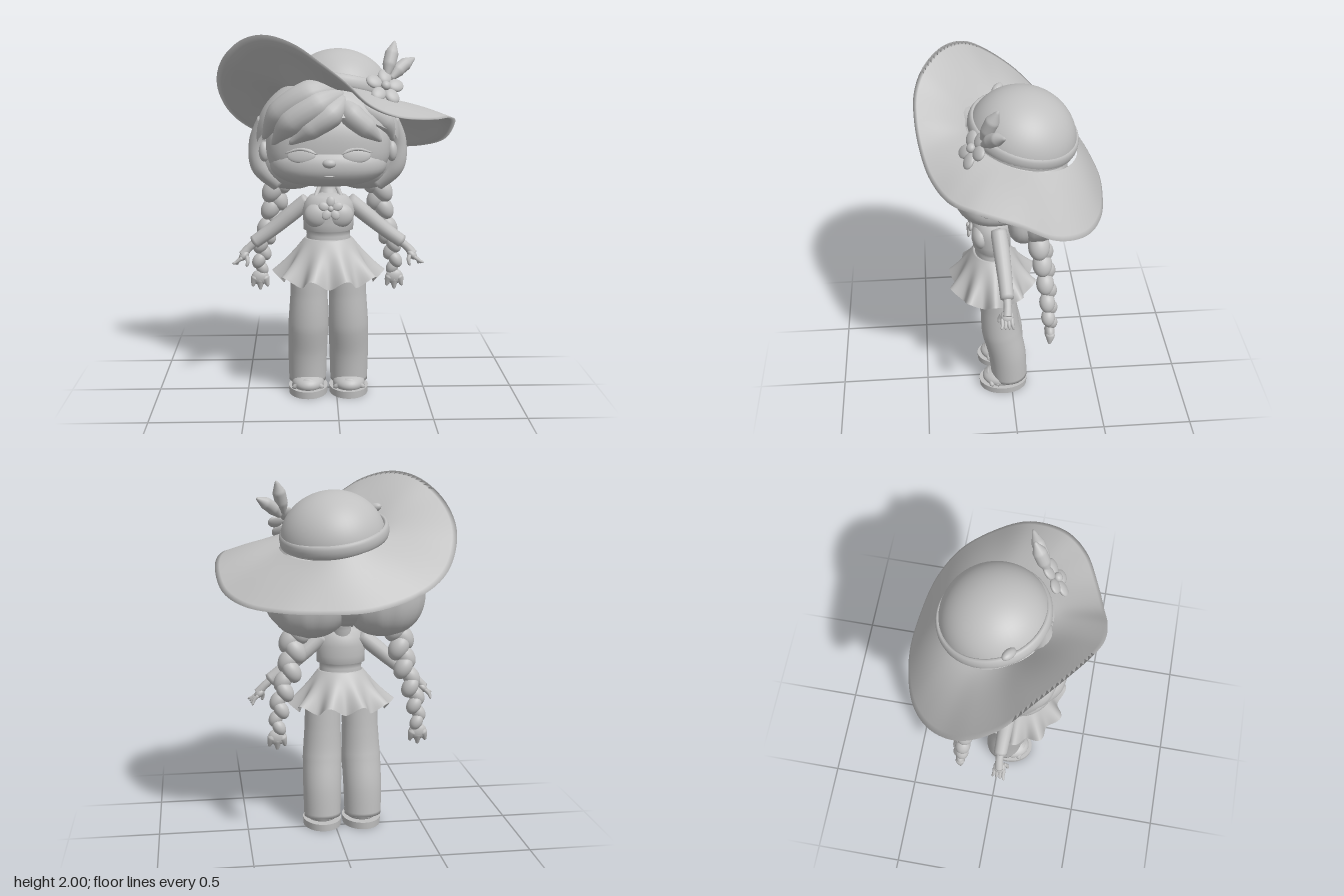
import * as THREE from 'three';
import { mergeVertices } from 'three/addons/utils/BufferGeometryUtils.js';

const V = (a) => new THREE.Vector3(...a);
const clay = new THREE.MeshStandardMaterial({ color: 0xc0c0c0, side: THREE.DoubleSide });
clay.name = 'clay grey';

function add(parent, name, geo, pos = [0, 0, 0]) {
  const m = new THREE.Mesh(geo, clay);
  m.name = name;
  m.position.set(...pos);
  parent.add(m);
  return m;
}

// Weld seams and smooth the normals
function smooth(geo) {
  geo.deleteAttribute('uv');
  geo.deleteAttribute('normal');
  const g = mergeVertices(geo, 1e-5);
  g.computeVertexNormals();
  return g;
}

// Surface from a rule f(u, v) -> [x, y, z]
function grid(nu, nv, f) {
  const pos = [], idx = [];
  for (let j = 0; j <= nv; j++) for (let i = 0; i <= nu; i++) pos.push(...f((i % nu) / nu, j / nv));
  for (let j = 0; j < nv; j++) for (let i = 0; i < nu; i++) {
    const a = j * (nu + 1) + i, b = a + nu + 1;
    idx.push(a, b, a + 1, b, b + 1, a + 1);
  }
  const g = new THREE.BufferGeometry();
  g.setAttribute('position', new THREE.Float32BufferAttribute(pos, 3));
  g.setIndex(idx);
  return smooth(g);
}

// Rounded-square ellipsoid with optional strand grooves around its height
function blob(rx, ry, rz, p = 2, grooves = 0) {
  const g = new THREE.SphereGeometry(1, 40, 24), a = g.attributes.position, v = new THREE.Vector3();
  for (let i = 0; i < a.count; i++) {
    v.fromBufferAttribute(a, i);
    const k = (Math.abs(v.x) ** p + Math.abs(v.y) ** p + Math.abs(v.z) ** p) ** (-1 / p);
    const w = grooves ? 1 - 0.05 * Math.abs(Math.cos(grooves * Math.atan2(v.x, v.z) / 2)) ** 6 * (1 - v.y * v.y) : 1;
    a.setXYZ(i, v.x * k * rx * w, v.y * k * ry, v.z * k * rz * w);
  }
  return smooth(g);
}

// Tube along points with interpolated radii, closed ends
function limb(points, radii, seg = 28, sides = 16) {
  const curve = new THREE.CatmullRomCurve3(points.map(V));
  const g = new THREE.TubeGeometry(curve, seg, 1, sides), a = g.attributes.position, v = new THREE.Vector3();
  for (let i = 0; i < a.count; i++) {
    const ring = Math.floor(i / (sides + 1)), t = ring / seg;
    const f = t * (radii.length - 1), k = Math.min(Math.floor(f), radii.length - 2);
    const r = ring === 0 || ring === seg ? 0 : THREE.MathUtils.lerp(radii[k], radii[k + 1], f - k);
    const c = curve.getPointAt(t);
    v.fromBufferAttribute(a, i).sub(c).multiplyScalar(r).add(c);
    a.setXYZ(i, v.x, v.y, v.z);
  }
  return smooth(g);
}

// Five-petal flower facing +z
function flower(name, r) {
  const g = new THREE.Group();
  g.name = name;
  for (let i = 0; i < 5; i++) {
    const a = i * Math.PI * 0.4 + Math.PI / 2;
    const p = add(g, 'petal', blob(r * 0.43, r * 0.36, r * 0.17), [Math.cos(a) * r * 0.6, Math.sin(a) * r * 0.6, 0]);
    p.rotation.z = a;
  }
  add(g, 'flowerCentre', blob(r * 0.24, r * 0.24, r * 0.2), [0, 0, r * 0.12]);
  return g;
}

function buildHat() {
  const hat = new THREE.Group();
  hat.name = 'sunHat';
  const centre = [0.02, 1.66, -0.06];
  const slope = (x, z) => centre[1] - 0.15 * (x - centre[0]) + 0.25 * (z - centre[2]);
  // Floppy brim: closed rim curve lofted to the crown base, with a thin underside
  const rim = new THREE.CatmullRomCurve3([
    [0.03, 1.77, 0.49], [0.16, 1.65, 0.465], [0.31, 1.585, 0.42], [0.5, 1.565, 0.33], [0.6, 1.565, 0.21], [0.65, 1.515, 0.01],
    [0.62, 1.405, -0.18], [0.51, 1.35, -0.34], [0.33, 1.33, -0.44], [0.11, 1.325, -0.485], [-0.12, 1.335, -0.495],
    [-0.38, 1.4, -0.43], [-0.52, 1.475, -0.34], [-0.61, 1.58, -0.22], [-0.65, 1.72, -0.08], [-0.61, 1.86, 0.08],
    [-0.5, 1.965, 0.21], [-0.37, 1.995, 0.33], [-0.22, 1.95, 0.435], [-0.1, 1.87, 0.485],
  ].map(V), true);
  add(hat, 'brim', grid(120, 28, (u, v) => {
    const e = rim.getPoint(u), a = Math.atan2(e.x - centre[0], e.z - centre[2]);
    const x = centre[0] + 0.29 * Math.sin(a), z = centre[2] + 0.29 * Math.cos(a);
    const t = 1 - Math.abs(1 - 2 * v), under = v > 0.5 ? -0.024 * Math.min(1, (1 - t) * 8) : 0;
    const bow = 0.012 * Math.sin(Math.PI * t);
    return [x + (e.x - x) * t, slope(x, z) * (1 - t) + e.y * t + bow + under, z + (e.z - z) * t];
  }));
  // Crown and ribbon share the tilt of the crown base
  const crown = new THREE.Group();
  crown.name = 'crown';
  crown.position.set(...centre);
  crown.quaternion.setFromUnitVectors(new THREE.Vector3(0, 1, 0), V([0.15, 1, -0.25]).normalize());
  const dome = add(crown, 'dome', new THREE.SphereGeometry(1, 48, 20, 0, Math.PI * 2, 0, Math.PI / 2));
  dome.scale.set(0.285, 0.255, 0.285);
  const ribbon = add(crown, 'ribbon', new THREE.TorusGeometry(0.28, 0.016, 12, 60), [-0.01, 0.03, 0]);
  ribbon.rotation.x = Math.PI / 2;
  ribbon.scale.z = 2.4;
  hat.add(crown);
  add(hat, 'ribbonKnot', blob(0.045, 0.025, 0.025), [-0.22, 1.81, 0.05]).rotation.set(0, -0.6, -0.3);
  // Flower and leaves
  const f = flower('hatFlower', 0.105);
  f.position.set(0.25, 1.725, 0.205);
  f.rotation.set(-0.65, 0.3, 0);
  hat.add(f);
  add(hat, 'leaf', limb([[0.26, 1.77, 0.16], [0.285, 1.87, 0.12], [0.31, 1.96, 0.08]], [0.012, 0.035, 0.036, 0.005]));
  add(hat, 'leaf', limb([[0.28, 1.76, 0.16], [0.34, 1.82, 0.11], [0.42, 1.87, 0.055]], [0.012, 0.035, 0.034, 0.005]));
  return hat;
}

function buildHead() {
  const head = new THREE.Group();
  head.name = 'head';
  add(head, 'face', blob(0.335, 0.225, 0.21, 2.5), [0, 1.41, 0.075]);
  add(head, 'cheeks', blob(0.315, 0.125, 0.215, 2.3), [0, 1.312, 0.095]);
  add(head, 'nose', blob(0.035, 0.024, 0.025), [0, 1.335, 0.31]);
  add(head, 'mouth', blob(0.03, 0.006, 0.01), [0, 1.265, 0.295]);
  // Hair cap, high over the forehead and low at the back
  add(head, 'hairCap', grid(64, 20, (u, v) => {
    const a = u * Math.PI * 2, p = v * (1.8 - 0.6 * Math.cos(a));
    return [0.39 * Math.sin(p) * Math.sin(a), 1.46 + 0.32 * Math.cos(p), 0.01 + 0.32 * Math.sin(p) * Math.cos(a)];
  }));
  add(head, 'backHair', blob(0.2, 0.22, 0.17), [0, 1.41, -0.11]);
  // Swept fringe, parted to the left of centre
  [
    [[0.08, 1.71, 0.16], [-0.1, 1.68, 0.23], [-0.26, 1.58, 0.21], [-0.35, 1.44, 0.13], 0.085],
    [[0.08, 1.69, 0.18], [-0.06, 1.63, 0.255], [-0.2, 1.54, 0.255], [-0.3, 1.42, 0.2], 0.088],
    [[0.08, 1.67, 0.2], [0.01, 1.59, 0.275], [-0.09, 1.52, 0.28], [-0.21, 1.43, 0.26], 0.07],
    [[0.06, 1.66, 0.19], [0.12, 1.58, 0.25], [0.2, 1.51, 0.25], [0.28, 1.44, 0.22], 0.065],
    [[0.08, 1.66, 0.15], [0.22, 1.59, 0.18], [0.3, 1.53, 0.16], [0.35, 1.43, 0.11], 0.065],
  ].forEach((b) => add(head, 'fringe', limb(b.slice(0, 4), [0.03, b[4], b[4] * 0.85, 0.008])));
  for (const s of [-1, 1]) {
    add(head, 'ear', blob(0.03, 0.055, 0.035), [s * 0.345, 1.37, 0.07]);
    add(head, 'eye', blob(0.075, 0.04, 0.012), [s * 0.145, 1.375, 0.278]).rotation.set(-0.2, s * 0.15, 0);
    add(head, 'eyelash', limb([[s * 0.06, 1.38, 0.29], [s * 0.145, 1.407, 0.284], [s * 0.23, 1.385, 0.265]], [0.004, 0.008, 0.004], 16, 8));
    add(head, 'hairBunch', blob(0.23, 0.24, 0.185, 2.2, 12), [s * 0.2, 1.375, -0.12]);
    add(head, 'sideLock', limb([[s * 0.345, 1.56, 0.05], [s * 0.385, 1.42, 0.0], [s * 0.37, 1.28, -0.02], [s * 0.26, 1.17, -0.06]], [0.03, 0.045, 0.055, 0.05]));
    // Braid of alternating lobes ending in a tuft
    const path = new THREE.CatmullRomCurve3([[0.285, 1.18, -0.13], [0.31, 1.0, -0.16], [0.365, 0.82, -0.18], [0.388, 0.66, -0.19]].map(V));
    for (let i = 0; i < 11; i++) {
      const t = i / 10, c = path.getPoint(t), side = i % 2 ? 1 : -1, w = 1.12 - 0.47 * t;
      add(head, 'braidLobe', blob(0.052 * w, 0.072 * w, 0.054 * w), [s * (c.x + side * 0.016 * w), c.y, c.z + side * 0.008]).rotation.z = s * side * 0.5;
    }
    add(head, 'braidTuft', blob(0.05, 0.045, 0.028), [s * 0.388, 0.605, -0.19]);
    for (const k of [-1, 0, 1]) add(head, 'tuftTip', limb([[s * 0.388, 0.64, -0.19], [s * 0.388 + k * 0.03, 0.595, -0.19], [s * 0.388 + k * 0.045, 0.53 + Math.abs(k) * 0.02, -0.185]], [0.015, 0.027, 0.006]));
  }
  return head;
}

function buildBody() {
  const body = new THREE.Group();
  body.name = 'body';
  const profile = [[0.12, 0.72], [0.125, 0.84], [0.118, 0.92], [0.12, 0.945], [0.136, 0.95], [0.136, 0.99], [0.142, 1.05], [0.13, 1.1], [0.1, 1.135], [0.03, 1.15]];
  const torso = add(body, 'torso', new THREE.LatheGeometry(profile.map((p) => new THREE.Vector2(...p)), 40), [0, 0, 0.1]);
  torso.scale.z = 0.78;
  add(body, 'neck', limb([[0, 1.24, 0.03], [0, 1.16, 0.045], [0, 1.08, 0.07]], [0.05, 0.05, 0.06]));
  const chest = flower('chestFlower', 0.065);
  chest.position.set(0.01, 1.08, 0.22);
  chest.rotation.x = -0.2;
  body.add(chest);
  // Ruffled skirt: outer folds lift, inner folds hang lower
  add(body, 'skirt', grid(144, 16, (u, v) => {
    const a = u * Math.PI * 2, wave = Math.cos(10 * a + Math.PI) * v * v;
    const r = 0.128 + 0.148 * v ** 0.95 + 0.027 * wave;
    return [r * 1.02 * Math.sin(a), 0.9 - 0.205 * v + 0.026 * wave - 0.014 * v * Math.cos(a), 0.1 + r * 0.84 * Math.cos(a)];
  }));
  const band = add(body, 'waistband', new THREE.TorusGeometry(0.124, 0.012, 10, 48), [0, 0.885, 0.1]);
  band.rotation.x = Math.PI / 2;
  band.scale.set(1, 0.82, 1.6);
  for (const s of [-1, 1]) {
    add(body, 'bust', blob(0.078, 0.07, 0.05), [s * 0.055, 1.035, 0.165]);
    add(body, 'strap', limb([[s * 0.09, 1.07, 0.185], [s * 0.07, 1.13, 0.13], [s * 0.045, 1.18, 0.05]], [0.012, 0.012, 0.012], 16, 8));
    // Sleeve, hand and fingers
    add(body, 'arm', limb([[s * 0.1, 1.11, 0.07], [s * 0.19, 1.035, 0.06], [s * 0.31, 0.935, 0.05], [s * 0.42, 0.855, 0.045]], [0.045, 0.045, 0.04, 0.036]));
    add(body, 'wrist', limb([[s * 0.4, 0.865, 0.045], [s * 0.44, 0.83, 0.045], [s * 0.475, 0.79, 0.05]], [0.022, 0.022, 0.025]));
    add(body, 'palm', blob(0.022, 0.035, 0.034), [s * 0.465, 0.79, 0.05]).rotation.z = s * 0.75;
    for (let i = 0; i < 4; i++) {
      const z = 0.024 + i * 0.018;
      add(body, 'finger', limb([[s * 0.47, 0.785, z], [s * (0.497 + i * 0.004), 0.757, z], [s * (0.508 + i * 0.007), 0.727 + i * 0.008, z + (i - 1.5) * 0.006]], [0.01, 0.01, 0.006], 10, 8));
    }
    add(body, 'thumb', limb([[s * 0.45, 0.795, 0.07], [s * 0.443, 0.765, 0.088], [s * 0.45, 0.735, 0.095]], [0.013, 0.011, 0.007], 10, 8));
    // Wide trouser leg, bent at the knee, and sandal
    add(body, 'trouserLeg', limb([[s * 0.106, 0.76, 0.075], [s * 0.107, 0.6, 0.07], [s * 0.111, 0.42, 0.06], [s * 0.116, 0.24, 0.025], [s * 0.117, 0.045, 0.01]], [0.1, 0.103, 0.112, 0.109, 0.104], 36, 28));
    const sole = add(body, 'sole', new THREE.CylinderGeometry(1, 0.98, 0.04, 40), [s * 0.114, 0.02, 0.048]);
    sole.scale.set(0.11, 1, 0.142);
    add(body, 'foot', blob(0.09, 0.055, 0.11), [s * 0.115, 0.06, 0.06]);
    for (const z of [0.1, 0.135]) add(body, 'sandalStrap', limb([[s * 0.115 - 0.09, 0.04, z - 0.02], [s * 0.115, 0.108 - (z - 0.1) * 0.6, z], [s * 0.115 + 0.09, 0.04, z - 0.02]], [0.014, 0.016, 0.014], 18, 8));
  }
  return body;
}

export function createModel() {
  const model = new THREE.Group();
  model.name = 'girlInSunHat';
  const figure = new THREE.Group();
  figure.name = 'figure';
  figure.position.x = -0.045;
  figure.add(buildHead(), buildBody());
  model.add(figure, buildHat());
  return model;
}
